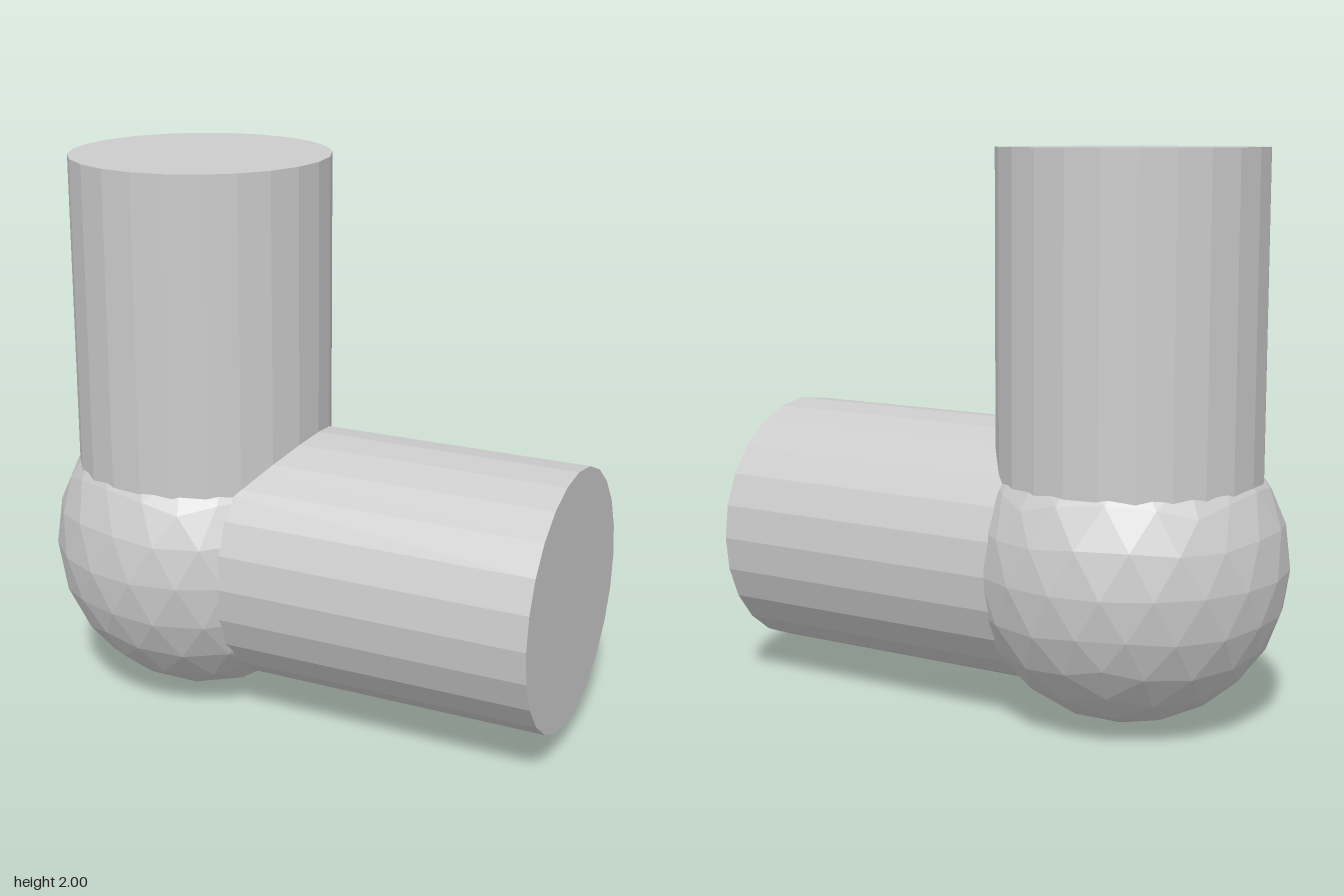
import * as THREE from 'three';

export function createModel() {
  const group = new THREE.Group();
  group.name = 'elbowJoint';
  const material = new THREE.MeshStandardMaterial({ color: 0xcccccc, flatShading: true });
  const centre = new THREE.Vector3(-0.44, 0.565, 0);
  const pipeRadius = 0.467;

  // Faceted ball at the corner, turned so a vertex points straight up
  const ballGeometry = new THREE.IcosahedronGeometry(0.562, 3);
  ballGeometry.rotateZ(-Math.atan(2 / (1 + Math.sqrt(5))));
  const ball = new THREE.Mesh(ballGeometry, material);
  ball.name = 'cornerBall';
  ball.position.copy(centre);
  group.add(ball);

  // Capped pipes running outward from the middle of the ball
  function addPipe(name, length, tilt) {
    const geometry = new THREE.CylinderGeometry(pipeRadius, pipeRadius, length, 24);
    geometry.translate(0, length / 2, 0);
    const pipe = new THREE.Mesh(geometry, material);
    pipe.name = name;
    pipe.position.copy(centre);
    pipe.rotation.z = tilt;
    group.add(pipe);
  }
  addPipe('uprightPipe', 2 - centre.y, 0);
  addPipe('sidePipe', 1 - centre.x, -Math.PI / 2);

  return group;
}
